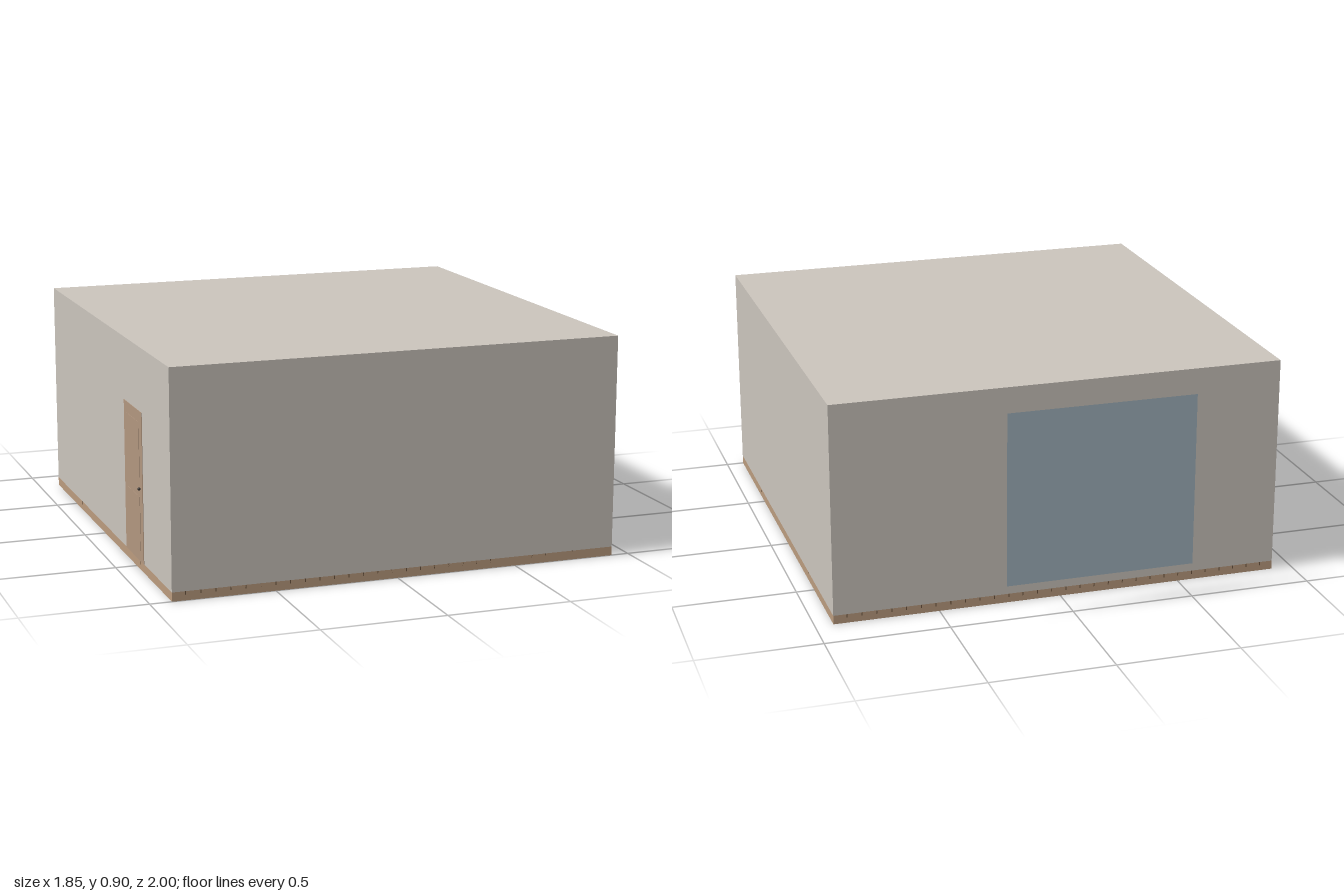
import * as THREE from 'three';

const paint = (name, color) => {
  const m = new THREE.MeshStandardMaterial({ color });
  m.name = name;
  return m;
};

export function createModel() {
  const wall = paint('plaster', 0xcac4bc);
  const wood = paint('floor wood', 0xba9b7e);
  const seam = paint('seam brown', 0x6b543f);
  const doorWood = paint('door wood', 0xb1967f);
  const metal = paint('dark metal', 0x3a3632);
  const glass = paint('glass', 0xa0b1bc);
  glass.side = THREE.DoubleSide;

  const model = new THREE.Group();
  model.name = 'room';
  // Box given by its limits on each axis
  const box = (name, mat, [x0, x1], [y0, y1], [z0, z1], parent = model) => {
    const mesh = new THREE.Mesh(new THREE.BoxGeometry(x1 - x0, y1 - y0, z1 - z0), mat);
    mesh.position.set((x0 + x1) / 2, (y0 + y1) / 2, (z0 + z1) / 2);
    mesh.name = name;
    parent.add(mesh);
    return mesh;
  };

  const X = [-0.913, 0.927], Z = [-0.842, 1], FLOOR = 0.036, TOP = 0.9;
  box('walls', wall, X, [FLOOR, TOP], Z);
  box('floor', wood, X, [0, FLOOR], Z);

  // Plank joints showing along the floor edge
  const joints = new THREE.Group();
  joints.name = 'plankJoints';
  model.add(joints);
  const e = 0.0008, w = 0.002, jointY = [0.022, FLOOR];
  for (let i = 0; i < 30; i++) {
    const x = -0.859 + i * 0.0597;
    for (const z of Z) box('plankJoint', seam, [x - w, x + w], jointY, [z - e, z + (z > 0 ? 0 : e)], joints);
  }
  for (const z of [0.56, -0.4]) {
    for (const x of X) box('plankJoint', seam, [x - e, x + e], jointY, [z - w, z + w], joints);
  }

  // Window pane standing off the back wall
  const pane = new THREE.Mesh(new THREE.PlaneGeometry(0.77, 0.71), glass);
  pane.name = 'windowPane';
  pane.position.set(-0.113, 0.497, -1);
  pane.rotation.y = Math.PI;
  model.add(pane);

  // Door on the right wall, with two raised panels
  const door = new THREE.Group();
  door.name = 'door';
  model.add(door);
  const face = X[0] - 0.002;
  box('doorLeaf', doorWood, [face, X[0]], [FLOOR, 0.645], [0.35, 0.612], door);
  for (const y of [[0.08, 0.3], [0.365, 0.6]]) {
    box('doorPanel', doorWood, [face - 0.0015, face], y, [0.39, 0.572], door);
  }

  // Door knob on a short stem
  const stem = new THREE.Mesh(new THREE.CylinderGeometry(0.003, 0.003, 0.01, 12), metal);
  stem.name = 'knobStem';
  stem.rotation.z = Math.PI / 2;
  stem.position.set(-0.917, 0.335, 0.582);
  const knob = new THREE.Mesh(new THREE.SphereGeometry(0.006, 16, 12), metal);
  knob.name = 'knob';
  knob.position.set(-0.921, 0.335, 0.582);
  door.add(stem, knob);

  return model;
}
